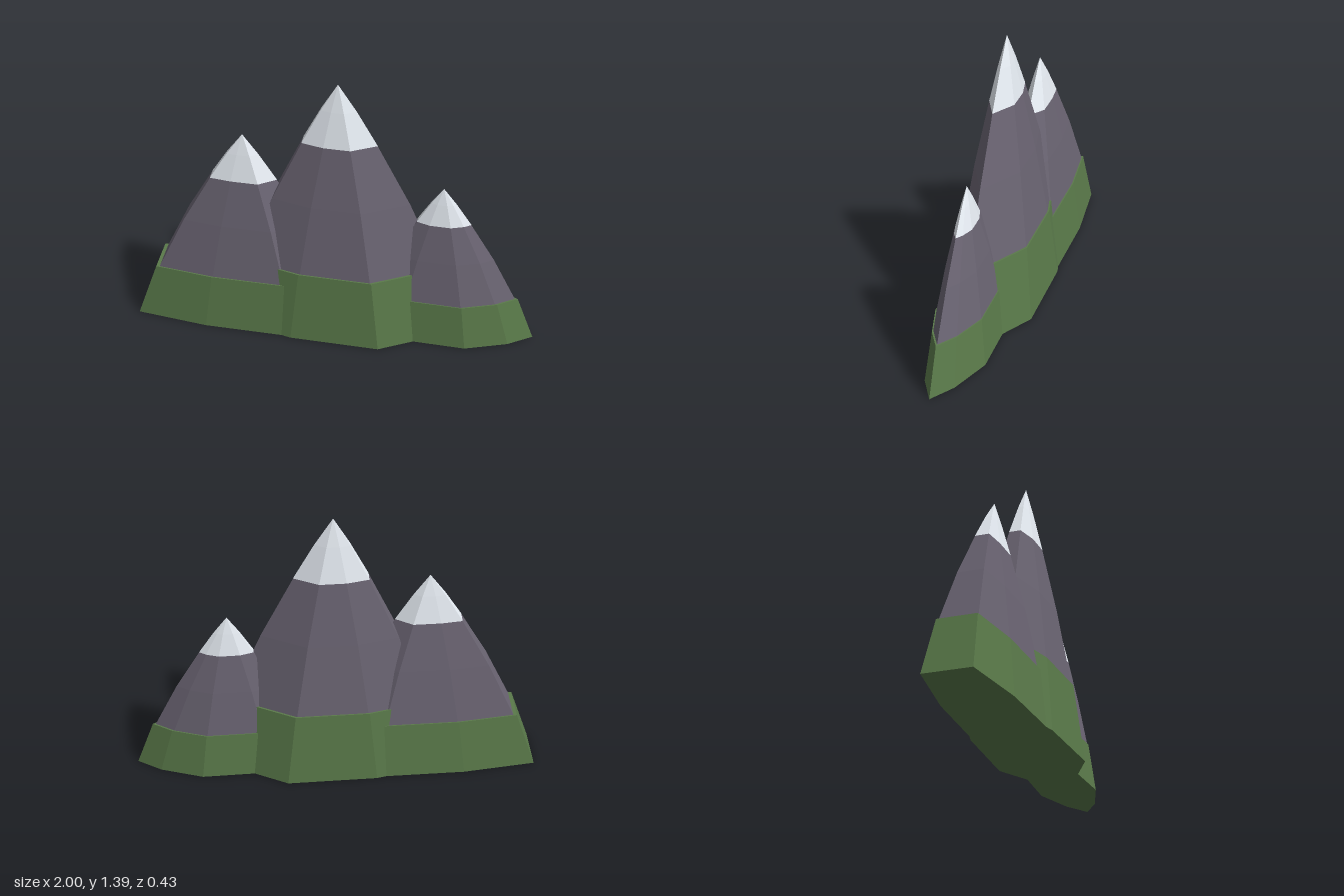
import * as THREE from 'three';

const material = (color) => new THREE.MeshStandardMaterial({ color, flatShading: true, roughness: 0.9 });
const GRASS = material(0x5a7a4a);
const ROCK = material(0x6a6472);
const SNOW = material(0xe8eef5);

// Bands shared by every peak: [height fraction, footprint scale]
const BANDS = [
  ['grassBase', GRASS, [[0, 1], [0.272, 0.815]]],
  ['rockSlope', ROCK, [[0.265, 0.79], [0.54, 0.54], [0.77, 0.29]]],
  ['snowCap', SNOW, [[0.77, 0.292], [0.9, 0.137], [1, 0]]],
];

// Half footprints run from the +x tip round the front; the back mirrors them
const PEAKS = [
  { name: 'leftPeak', x: 0.52, height: 0.86,
    half: [[0.48, 0], [0.36, 0.075], [0.15, 0.143], [-0.2, 0.125], [-0.42, 0.05]] },
  { name: 'middlePeak', x: 0.01, height: 1.39,
    half: [[0.65, 0], [0.235, 0.216], [-0.21, 0.197], [-0.58, 0.1]] },
  { name: 'rightPeak', x: -0.45, height: 1.07,
    half: [[0.56, 0], [0.27, 0.187], [-0.19, 0.17], [-0.55, 0.117]] },
];

// Stack scaled copies of the footprint and close both ends
function bandGeometry(footprint, height, profile) {
  const n = footprint.length;
  const positions = [];
  const index = [];
  for (const [level, scale] of profile) {
    for (const [x, z] of footprint) positions.push(x * scale, level * height, z * scale);
  }
  for (let r = 0; r < profile.length - 1; r++) {
    for (let i = 0; i < n; i++) {
      const a = r * n + i;
      const b = r * n + (i + 1) % n;
      index.push(a, a + n, b);
      if (profile[r + 1][1] > 0) index.push(b, a + n, b + n);
    }
  }
  const top = (profile.length - 1) * n;
  for (let i = 1; i < n - 1; i++) {
    index.push(0, i, i + 1);
    if (profile.at(-1)[1] > 0) index.push(top, top + i + 1, top + i);
  }
  const geometry = new THREE.BufferGeometry();
  geometry.setAttribute('position', new THREE.Float32BufferAttribute(positions, 3));
  geometry.setIndex(index);
  const flat = geometry.toNonIndexed();
  flat.computeVertexNormals();
  return flat;
}

function createPeak({ name, x, height, half }) {
  const peak = new THREE.Group();
  peak.name = name;
  peak.position.x = x;
  const back = half.slice(1).reverse().map(([px, pz]) => [px, -pz]);
  const footprint = [...half, ...back];
  for (const [part, mat, profile] of BANDS) {
    const mesh = new THREE.Mesh(bandGeometry(footprint, height, profile), mat);
    mesh.name = part;
    peak.add(mesh);
  }
  return peak;
}

export function createModel() {
  const model = new THREE.Group();
  model.name = 'mountainRange';
  for (const peak of PEAKS) model.add(createPeak(peak));
  return model;
}
